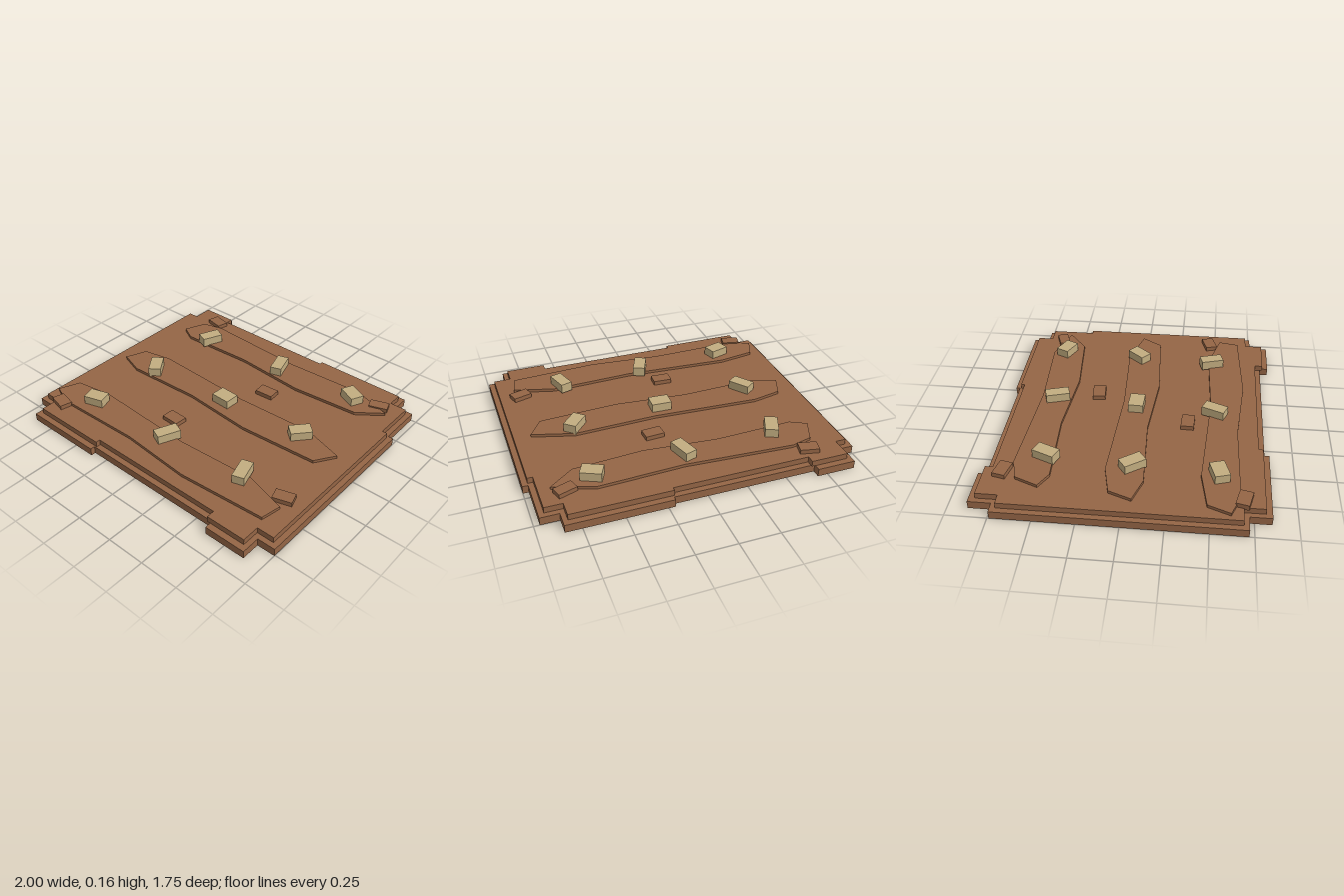
import * as THREE from 'three';

const brown = new THREE.MeshStandardMaterial({ color: 0x946545 });
brown.name = 'soil brown';
const tan = new THREE.MeshStandardMaterial({ color: 0xc2ad80 });
tan.name = 'pale tan';

// Flat slab from an outline of [x, z] points, between heights y0 and y1
function slab(name, outline, y0, y1, sx = 1, sz = 1) {
  const shape = new THREE.Shape(outline.map(([x, z]) => new THREE.Vector2(x * sx, z * sz)));
  const geo = new THREE.ExtrudeGeometry(shape, { depth: y1 - y0, bevelEnabled: false });
  geo.rotateX(Math.PI / 2).translate(0, y1, 0);
  const mesh = new THREE.Mesh(geo, brown);
  mesh.name = name;
  return mesh;
}

// Turned box standing between heights y0 and y1
function block(name, material, [x, z, w, d, turn], y0, y1) {
  const mesh = new THREE.Mesh(new THREE.BoxGeometry(w, y1 - y0, d), material);
  mesh.position.set(x, (y0 + y1) / 2, z);
  mesh.rotation.y = turn;
  mesh.name = name;
  return mesh;
}

export function createModel() {
  const group = new THREE.Group();
  group.name = 'gardenPlot';

  // Two stacked tiers with the same notched outline
  const outline = [
    [-0.93, -0.88], [-0.685, -0.88], [-0.685, -0.83], [0.21, -0.83], [0.21, -0.855], [0.85, -0.855],
    [0.85, -0.75], [0.965, -0.75], [0.965, -0.45], [1, -0.45], [1, 0.755], [0.885, 0.755],
    [0.885, 0.875], [0.615, 0.875], [0.615, 0.82], [-0.355, 0.82], [-0.355, 0.85], [-0.895, 0.85],
    [-0.895, 0.72], [-1, 0.72], [-1, -0.74], [-0.93, -0.74],
  ];
  group.add(slab('lowerTier', outline, 0, 0.05));
  group.add(slab('upperTier', outline, 0.05, 0.087, 0.965, 0.955));

  // Three raised ridges
  const ridges = [
    [[-0.815, -0.495], [-0.755, -0.64], [-0.62, -0.675], [0.07, -0.635], [0.605, -0.66],
      [0.86, -0.575], [0.705, -0.455], [0.26, -0.42], [-0.215, -0.46], [-0.715, -0.44]],
    [[-0.875, 0.055], [-0.82, -0.085], [-0.63, -0.125], [0.06, -0.09], [0.595, -0.11],
      [0.86, -0.03], [0.775, 0.1], [0.26, 0.13], [-0.21, 0.09], [-0.715, 0.11]],
    [[-0.935, 0.615], [-0.88, 0.48], [-0.635, 0.44], [0.06, 0.48], [0.595, 0.455],
      [0.86, 0.53], [0.835, 0.66], [0.265, 0.695], [-0.21, 0.655], [-0.8, 0.67]],
  ];
  ridges.forEach((pts, i) => group.add(slab(`ridge${i + 1}`, pts, 0.08, 0.106)));

  // Loose clods: x, z, width, depth, turn
  [
    [-0.695, -0.725, 0.12, 0.08, -0.22],
    [0.785, -0.62, 0.122, 0.072, 0.33],
    [0.14, -0.265, 0.122, 0.083, 0.07],
    [-0.13, 0.34, 0.122, 0.083, -0.04],
    [0.83, 0.455, 0.122, 0.078, 0.3],
    [-0.81, 0.69, 0.118, 0.08, -0.23],
  ].forEach((c, i) => group.add(block(`clod${i + 1}`, brown, c, 0.08, 0.115)));

  // Pale blocks in three rows along the ridges
  [
    [-0.56, -0.49, 0.083, 0.145, -0.4],
    [0.04, -0.53, 0.077, 0.155, 0.3],
    [0.612, -0.563, 0.13, 0.09, -0.44],
    [-0.597, 0.032, 0.145, 0.083, -0.95],
    [0, 0, 0.13, 0.098, -0.04],
    [0.58, -0.037, 0.138, 0.085, 0.85],
    [-0.63, 0.545, 0.13, 0.093, 0.3],
    [-0.03, 0.507, 0.08, 0.15, -0.4],
    [0.545, 0.474, 0.077, 0.15, 0.3],
  ].forEach((b, i) => group.add(block(`paleBlock${i + 1}`, tan, b, 0.1, 0.162)));

  return group;
}
